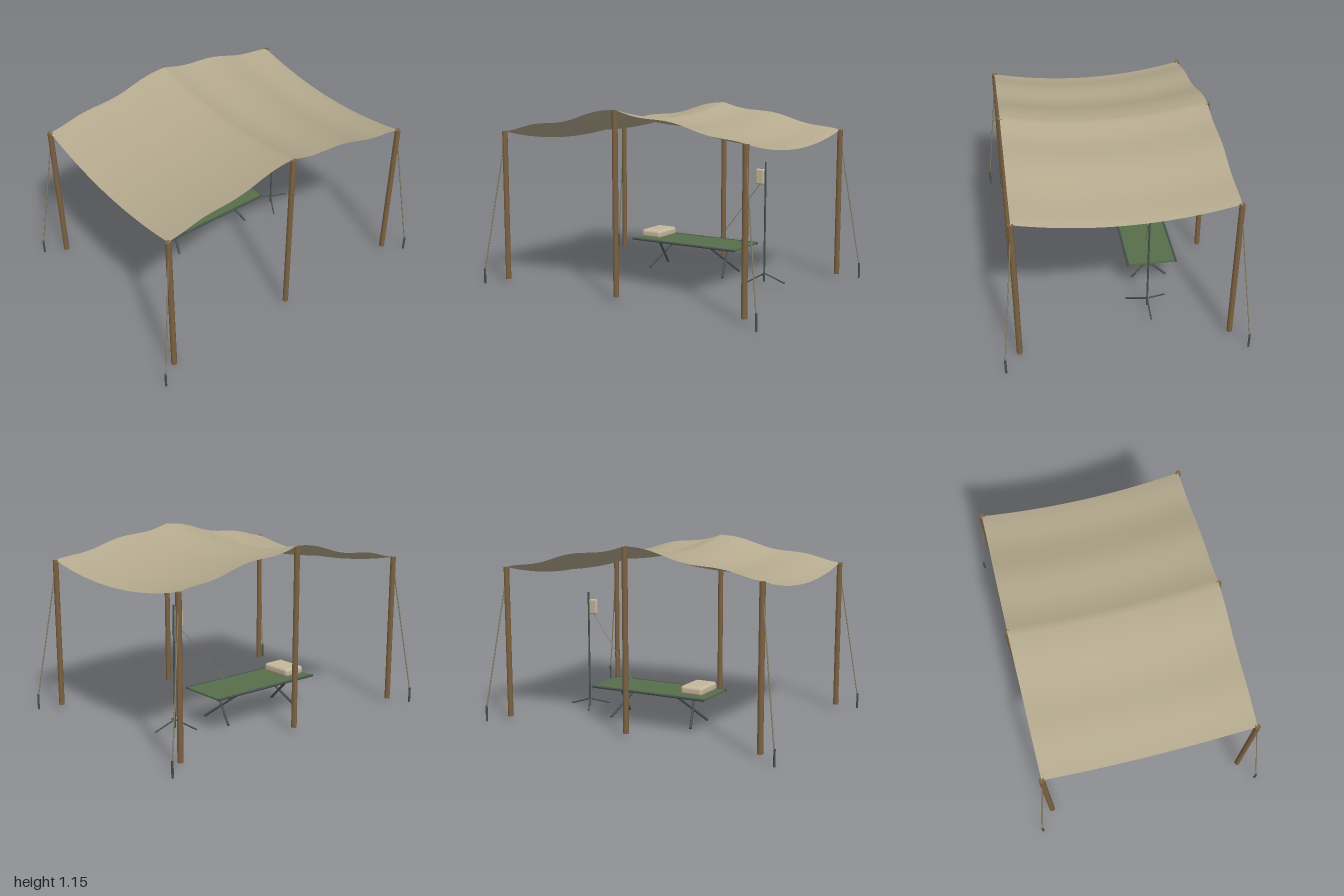
import * as THREE from 'three';
import { RoundedBoxGeometry } from 'three/addons/geometries/RoundedBoxGeometry.js';

const material = (name, color, extra = {}) => {
  const m = new THREE.MeshStandardMaterial({ color, ...extra });
  m.name = name;
  return m;
};

export function createModel() {
  const root = new THREE.Group();
  root.name = 'fieldShelter';

  const canvas = material('canvas', 0xb5aa8e, { side: THREE.DoubleSide });
  const wood = material('wood', 0x7c6242);
  const green = material('cotGreen', 0x566e4a);
  const metal = material('darkMetal', 0x46524f);
  const rope = material('rope', 0x8a8268);
  const linen = material('linen', 0xc4b89c);

  const add = (parent, name, geometry, mat, x = 0, y = 0, z = 0) => {
    const mesh = new THREE.Mesh(geometry, mat);
    mesh.name = name;
    mesh.position.set(x, y, z);
    parent.add(mesh);
    return mesh;
  };

  // Straight round bar between two points
  const bar = (parent, name, a, b, radius, mat, sides = 10) => {
    const start = new THREE.Vector3(...a), end = new THREE.Vector3(...b);
    const dir = end.clone().sub(start);
    const mesh = add(parent, name, new THREE.CylinderGeometry(radius, radius, dir.length(), sides), mat);
    mesh.position.copy(start).add(end).multiplyScalar(0.5);
    mesh.quaternion.setFromUnitVectors(new THREE.Vector3(0, 1, 0), dir.normalize());
    return mesh;
  };

  const group = (name) => {
    const g = new THREE.Group();
    g.name = name;
    root.add(g);
    return g;
  };

  // Canopy: ridge along z, sagging between the pole rows, with soft ripples
  const HX = 0.87, HZ = 0.645;
  const cloth = new THREE.PlaneGeometry(2 * HX, 2 * HZ, 64, 32).rotateX(-Math.PI / 2);
  const p = cloth.attributes.position;
  for (let i = 0; i < p.count; i++) {
    const x = p.getX(i), u = x / HX, v = p.getZ(i) / HZ;
    const slope = 1.15 - 0.16 * Math.abs(u);
    const sag = 0.075 * (1 - v * v);
    const ripple = -0.011 * Math.sin(12 * x) * (1 - u ** 6);
    p.setY(i, slope - sag + ripple);
  }
  cloth.computeVertexNormals();
  add(root, 'canopy', cloth, canvas);

  // Six poles, with guy ropes and stakes at the corners
  const poles = group('poles');
  const guys = group('guyLines');
  for (const sz of [-1, 1]) {
    for (const sx of [-1, 0, 1]) {
      const top = sx ? 0.99 : 1.145;
      bar(poles, 'pole', [sx * HX, 0.03, sz * HZ], [sx * HX, top, sz * HZ], 0.0175, wood, 12);
      if (!sx) continue;
      bar(guys, 'guyRope', [sx * HX, 0.95, sz * HZ], [sx * 0.99, 0.09, sz * 0.735], 0.004, rope, 6);
      bar(guys, 'stake', [sx * 0.992, 0, sz * 0.735], [sx * 0.992, 0.1, sz * 0.735], 0.007, metal, 8);
    }
  }

  // Folding cot with side rails and crossed legs
  const cot = group('cot');
  const CZ = -0.247;
  add(cot, 'cotFabric', new THREE.BoxGeometry(0.79, 0.012, 0.3), green, 0, 0.224, CZ);
  for (const s of [-1, 1]) {
    bar(cot, 'sideRail', [-0.4, 0.226, CZ + s * 0.155], [0.4, 0.226, CZ + s * 0.155], 0.008, metal);
    for (const e of [-1, 1]) {
      bar(cot, 'cotLeg', [e * 0.2, 0.217, CZ + s * 0.12], [e * 0.287, 0.03, CZ - s * 0.115], 0.008, metal);
    }
  }
  add(cot, 'pillow', new RoundedBoxGeometry(0.15, 0.056, 0.215, 4, 0.02), linen, -0.285, 0.26, CZ);

  // Drip stand on three feet, with hanging bag and thin tube
  const stand = group('dripStand');
  const SX = 0.565, SZ = -0.187;
  bar(stand, 'standPole', [SX, 0.03, SZ], [SX, 0.8, SZ], 0.006, metal);
  for (let i = 0; i < 3; i++) {
    const a = i * Math.PI * 2 / 3;
    bar(stand, 'standFoot', [SX, 0.084, SZ],
      [SX + 0.145 * Math.cos(a), 0.036, SZ + 0.145 * Math.sin(a)], 0.005, metal, 8);
  }
  add(stand, 'dripBag', new RoundedBoxGeometry(0.06, 0.1, 0.024, 4, 0.011), linen, 0.527, 0.706, SZ);
  bar(stand, 'dripTube', [0.527, 0.66, SZ], [0.188, 0.25, -0.245], 0.0022, rope, 6);

  return root;
}
